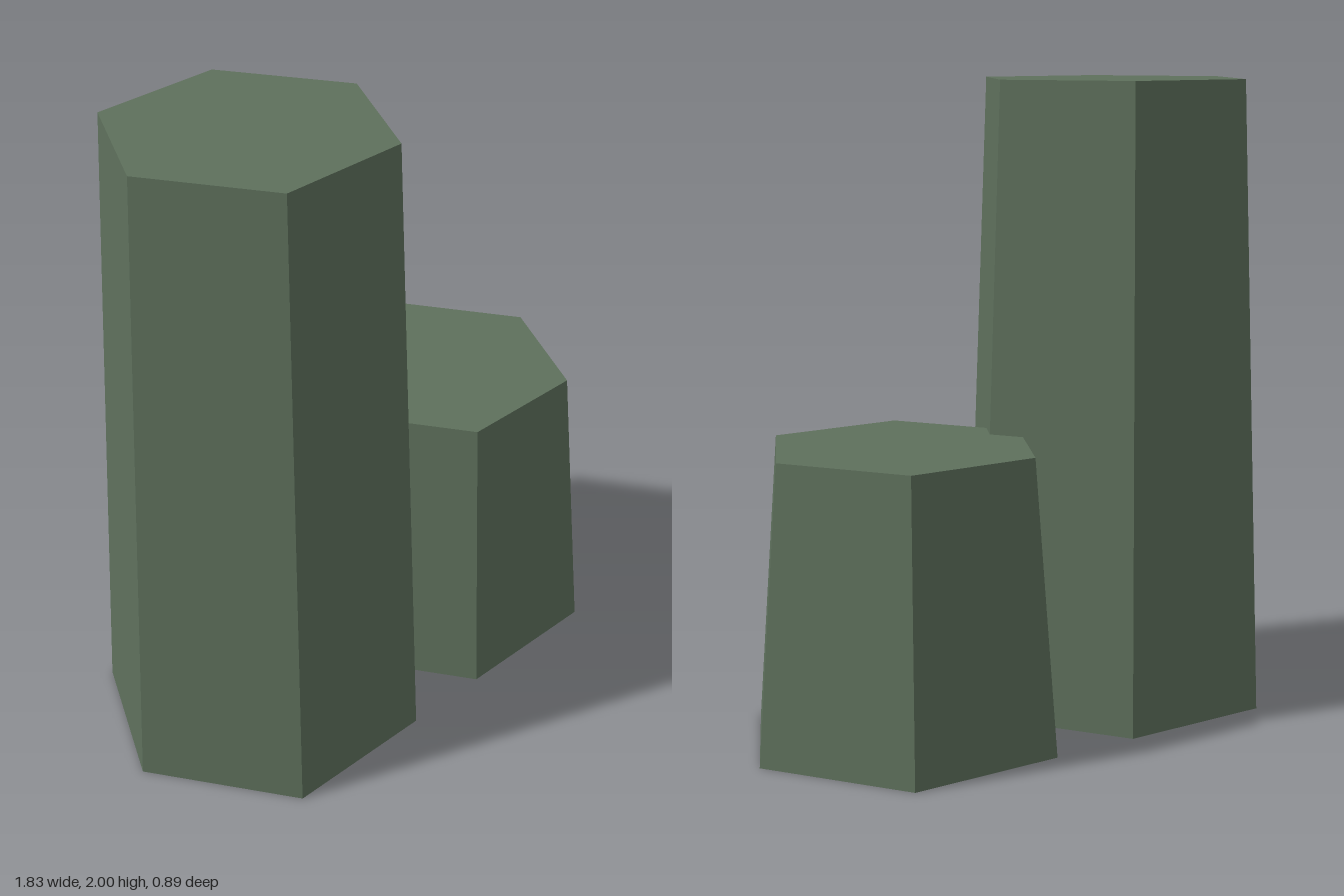
import * as THREE from 'three';

export function createModel() {
  const group = new THREE.Group();
  group.name = 'hexagonalColumns';
  const stone = new THREE.MeshStandardMaterial({ color: 0x5e705c });
  stone.name = 'mossyGreen';
  stone.flatShading = true;

  // Tapered six-sided column with corners pointing along x
  function addColumn(name, x, height) {
    const geometry = new THREE.CylinderGeometry(0.438, 0.512, height, 6, 1, false, Math.PI / 2);
    const mesh = new THREE.Mesh(geometry, stone);
    mesh.name = name;
    mesh.position.set(x, height / 2, 0);
    group.add(mesh);
  }

  addColumn('tallColumn', -0.402, 2);
  addColumn('shortColumn', 0.402, 0.91);
  return group;
}
